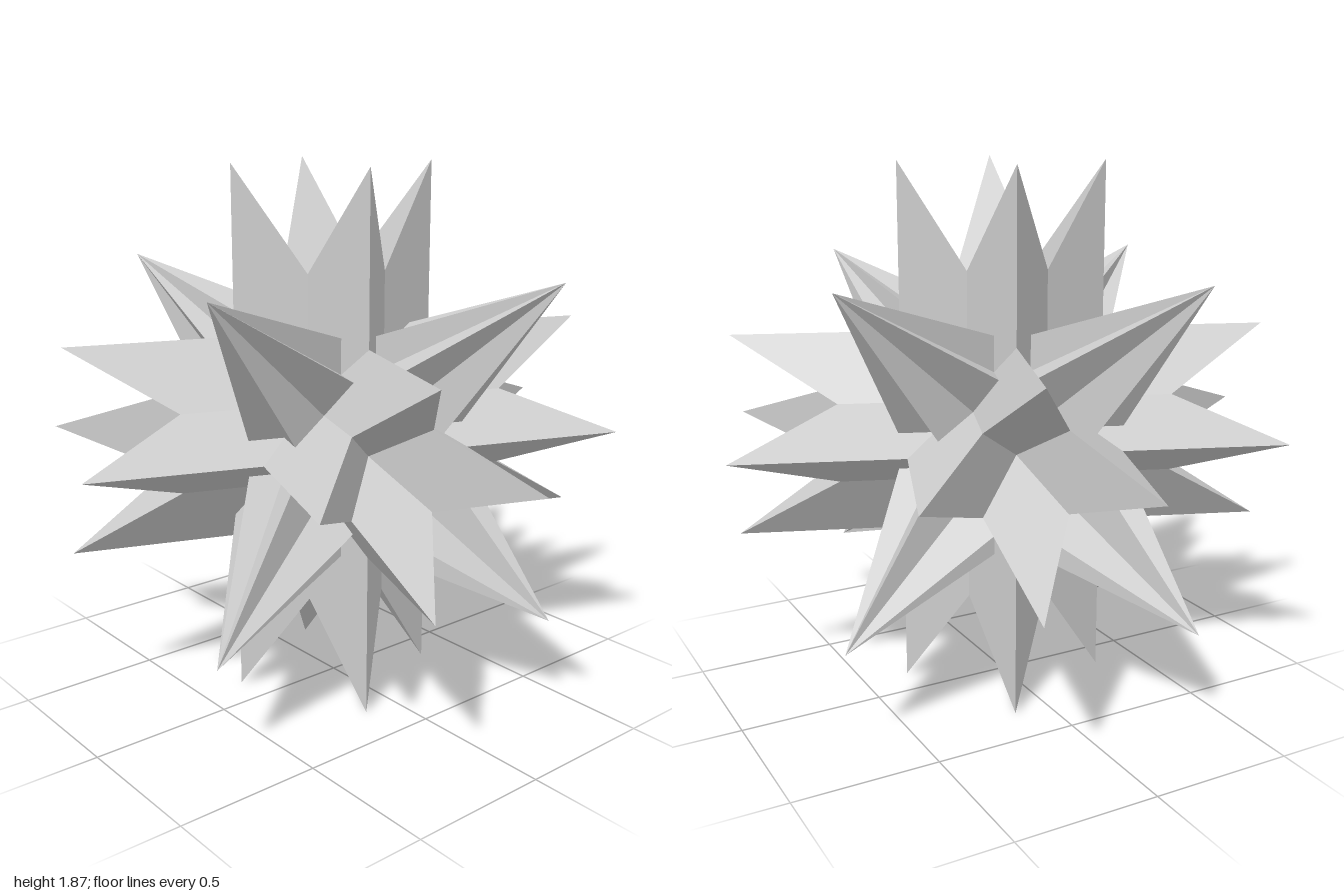
import * as THREE from 'three';

const PHI = (1 + Math.sqrt(5)) / 2;
const TIP_RADIUS = 1;
// Edge from tip to tip, and its middle part, which is an edge of the icosahedral core
const LONG_EDGE = (PHI ** 2 * 4) / (Math.sqrt(3) * (1 + Math.sqrt(5)));
const CORE_EDGE = LONG_EDGE / (2 * PHI + 1);
const CORE_RADIUS = CORE_EDGE * Math.sin((2 * Math.PI) / 5);

// Star of 20 three-sided spikes, one on each face of an icosahedral core
function starGeometry() {
  const core = new THREE.IcosahedronGeometry(CORE_RADIUS, 0).getAttribute('position');
  const points = [];
  for (let i = 0; i < core.count; i += 3) {
    const base = [0, 1, 2].map((k) => new THREE.Vector3().fromBufferAttribute(core, i + k));
    const tip = new THREE.Vector3().add(base[0]).add(base[1]).add(base[2]).setLength(TIP_RADIUS);
    for (let k = 0; k < 3; k++) points.push(base[k], base[(k + 1) % 3], tip);
  }
  const geometry = new THREE.BufferGeometry().setFromPoints(points);
  geometry.computeVertexNormals();
  return geometry;
}

export function createModel() {
  const model = new THREE.Group();
  model.name = 'starCompound';
  const material = new THREE.MeshStandardMaterial({ color: 0xcccccc, flatShading: true });
  const geometry = starGeometry();

  // Two equal stars a quarter turn apart, turned so that four spikes lie on the x and z axes
  const turn = -Math.atan(1 / PHI ** 2);
  ['firstStar', 'secondStar'].forEach((name, i) => {
    const star = new THREE.Mesh(geometry, material);
    star.name = name;
    star.rotation.y = turn + (i * Math.PI) / 2;
    star.position.y = LONG_EDGE / 2;
    model.add(star);
  });
  return model;
}
